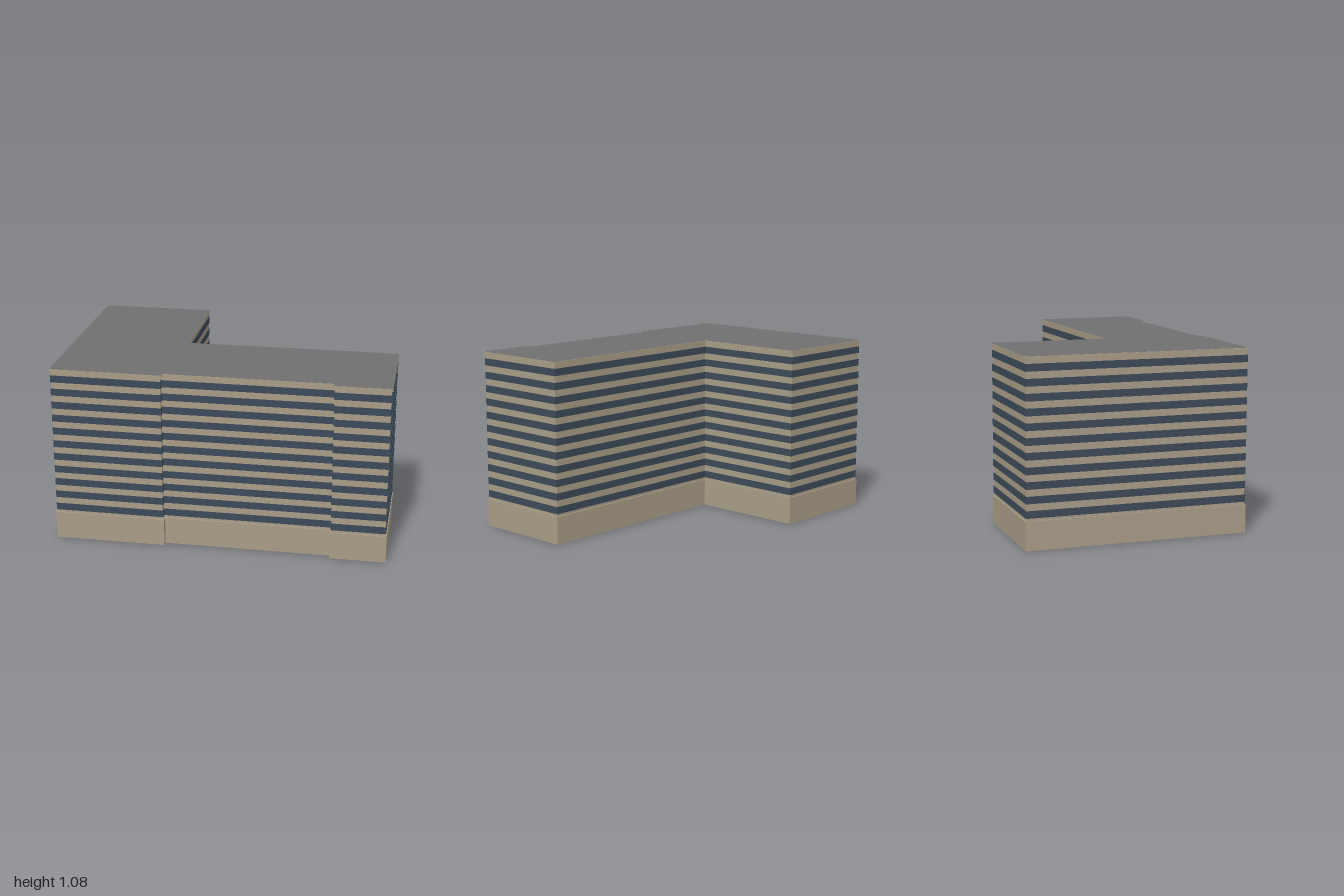
import * as THREE from 'three';

// L-shaped footprint with a shallow recess in the front, as [x, z]
const FOOTPRINT = [
  [-0.993, -0.67], [-0.295, -0.672], [-0.293, 0.037], [0.998, 0.033], [1, 0.668],
  [0.666, 0.668], [0.666, 0.633], [-0.33, 0.63], [-0.33, 0.662], [-1, 0.658],
];

const FLOORS = 11, FIRST_BAND = 0.183, FLOOR_STEP = 0.0817, BAND_HEIGHT = 0.042;
const PLINTH_TOP = 0.168, PARAPET_BOTTOM = 1.067, ROOF = 1.083;

// Footprint shape with every wall moved inwards by d
function footprint(d) {
  const pts = FOOTPRINT.map(([x, z]) => new THREE.Vector2(x, -z));
  const n = pts.length;
  const normals = pts.map((p, i) => {
    const e = pts[(i + 1) % n].clone().sub(p).normalize();
    return new THREE.Vector2(e.y, -e.x);
  });
  return new THREE.Shape(pts.map((p, i) => {
    const a = normals[(i + n - 1) % n], b = normals[i];
    return p.clone().addScaledVector(a.clone().add(b), d / (1 + a.dot(b)));
  }));
}

// Storey slab from y0 to y1
function slab(name, inset, y0, y1, material) {
  const geo = new THREE.ExtrudeGeometry(footprint(inset), { depth: y1 - y0, bevelEnabled: false });
  geo.rotateX(-Math.PI / 2).translate(0, y0, 0);
  const mesh = new THREE.Mesh(geo, material);
  mesh.name = name;
  return mesh;
}

export function createModel() {
  const wall = new THREE.MeshStandardMaterial({ name: 'sandWall', color: 0xa99c87 });
  const glass = new THREE.MeshStandardMaterial({ name: 'darkGlass', color: 0x3c4a59 });
  const roofing = new THREE.MeshStandardMaterial({ name: 'greyRoof', color: 0x6f6f6f });

  const building = new THREE.Group();
  building.name = 'officeBuilding';

  // Walls: plinth, set-back core and overhanging parapet
  building.add(slab('plinth', 0, 0, PLINTH_TOP, wall));
  building.add(slab('wallCore', 0.008, PLINTH_TOP - 0.01, PARAPET_BOTTOM + 0.005, wall));
  building.add(slab('parapet', 0, PARAPET_BOTTOM, ROOF - 0.001, wall));

  // Continuous ribbon windows, one per floor
  const windows = new THREE.Group();
  windows.name = 'ribbonWindows';
  for (let i = 0; i < FLOORS; i++) {
    const y = FIRST_BAND + i * FLOOR_STEP;
    windows.add(slab(`windowBand${i + 1}`, 0.004, y, y + BAND_HEIGHT, glass));
  }
  building.add(windows);

  // Flat roof covering
  const roof = new THREE.Mesh(new THREE.ShapeGeometry(footprint(0)), roofing);
  roof.geometry.rotateX(-Math.PI / 2).translate(0, ROOF, 0);
  roof.name = 'roof';
  building.add(roof);

  return building;
}
